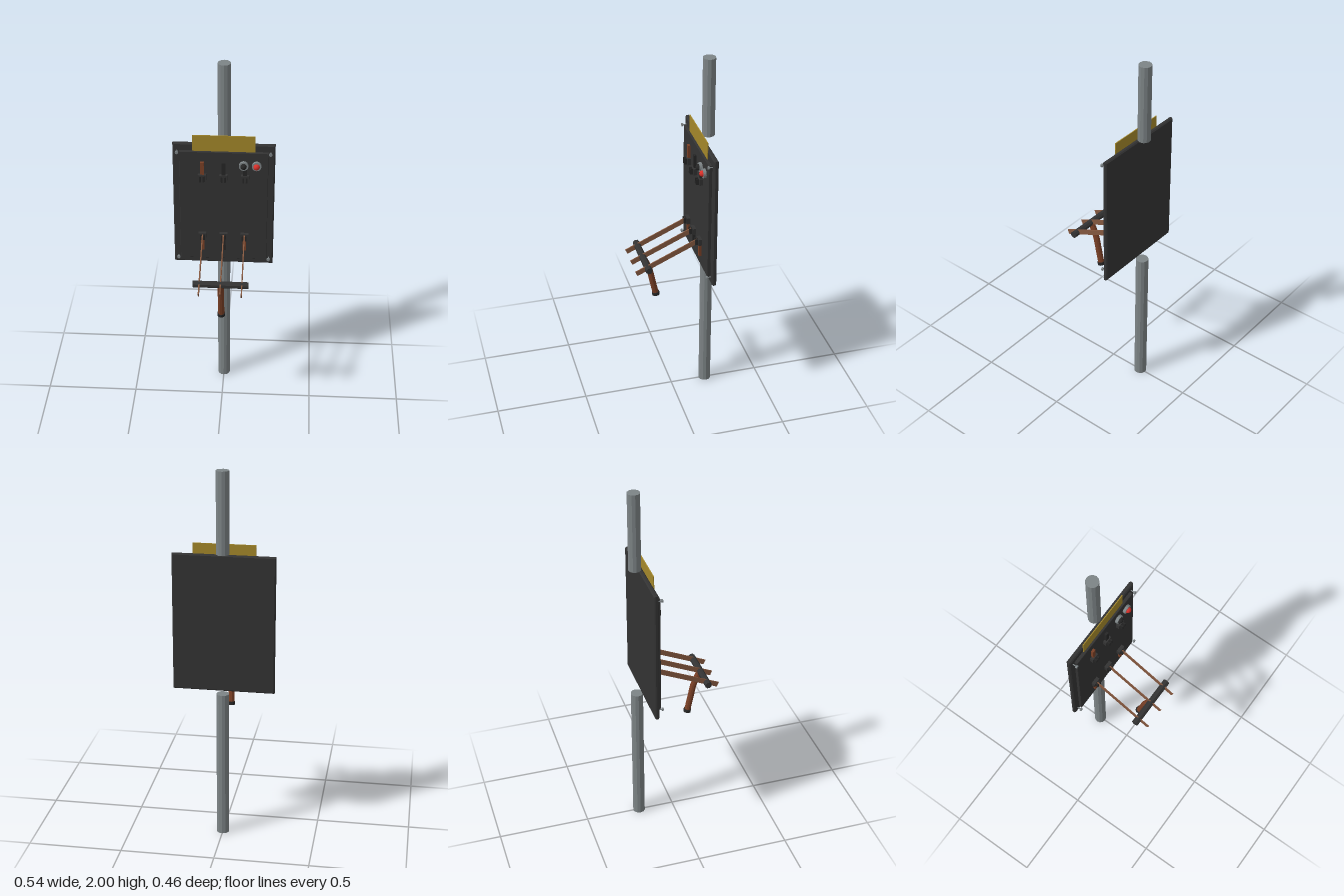
import * as THREE from 'three';

const mat = (name, color) => {
  const m = new THREE.MeshStandardMaterial({ color, flatShading: true });
  m.name = name;
  return m;
};

export function createModel() {
  const steel = mat('steel', 0x7d8486);
  const dark = mat('dark', 0x333333);
  const black = mat('black', 0x262626);
  const copper = mat('copper', 0x7a4026);
  const blade = mat('blade', 0x85583f);
  const brass = mat('brass', 0xa3872a);
  const red = mat('red', 0xd8302a);
  const root = new THREE.Group();
  root.name = 'knifeSwitchBoard';

  const add = (name, geo, material, x, y, z, parent = root) => {
    const m = new THREE.Mesh(geo, material);
    m.name = name;
    m.position.set(x, y, z);
    parent.add(m);
    return m;
  };
  const box = (name, w, h, d, material, x, y, z, parent) =>
    add(name, new THREE.BoxGeometry(w, h, d), material, x, y, z, parent);
  // Plate with chamfered edges, centred on its own origin
  const plate = (w, h, d, c) => {
    const a = w / 2 - c, b = h / 2 - c;
    const s = new THREE.Shape([[-a, -b], [a, -b], [a, b], [-a, b]].map(p => new THREE.Vector2(...p)));
    return new THREE.ExtrudeGeometry(s, {
      depth: d - 2 * c, bevelThickness: c, bevelSize: c, bevelSegments: 1,
    }).translate(0, 0, c - d / 2);
  };

  // Pole in two lengths, broken behind the board
  for (const [name, y0, y1] of [['lowerPole', 0, 0.81], ['upperPole', 1.57, 2]])
    add(name, new THREE.CylinderGeometry(0.034, 0.034, y1 - y0, 12), steel, 0, (y0 + y1) / 2, -0.197);

  // Board, raised panel and sign plate
  add('backBoard', plate(0.538, 0.742, 0.024, 0.006), dark, 0, 1.185, -0.162);
  add('frontPanel', plate(0.468, 0.665, 0.018, 0.002), dark, 0, 1.185, -0.141);
  box('signPlate', 0.328, 0.105, 0.005, brass, 0, 1.557, -0.1455);

  // Corner screws
  for (const x of [-0.245, 0.245]) for (const y of [0.856, 1.514]) {
    const s = add('screw', new THREE.CylinderGeometry(0.009, 0.009, 0.009, 8), steel, x, y, -0.127);
    s.rotation.x = Math.PI / 2;
    const shank = add('screwShank', new THREE.CylinderGeometry(0.003, 0.003, 0.022, 6), steel, x, y, -0.141);
    shank.rotation.x = Math.PI / 2;
  }

  // Indicator lamps
  for (const [x, m] of [[0.105, black], [0.173, red]]) {
    const base = add('lampBase', new THREE.CylinderGeometry(0.025, 0.025, 0.016, 16), steel, x, 1.445, -0.125);
    base.rotation.x = Math.PI / 2;
    const lens = add('lampLens',
      new THREE.SphereGeometry(0.017, 16, 6, 0, Math.PI * 2, 0, Math.PI / 2), m, x, 1.445, -0.117);
    lens.rotation.x = Math.PI / 2;
  }

  // Contacts: the upper tails point up, the lower tails point down
  const columns = [-0.113, 0, 0.113];
  for (const x of columns) for (const [y, dir] of [[1.37, 1], [1.005, -1]]) {
    const g = new THREE.Group();
    g.name = dir > 0 ? 'upperContact' : 'lowerContact';
    g.position.set(x, y, -0.133);
    root.add(g);
    box('contactBase', 0.044, 0.036, 0.02, dark, 0, 0, 0.01, g);
    for (const side of [-1, 1])
      box('contactJaw', 0.008, 0.032, 0.016, black, side * 0.009, 0, 0.027, g);
    box('contactTail', 0.02, 0.075, 0.014, x < 0 || dir < 0 && x > 0 ? copper : black, 0, dir * 0.053, 0.007, g);
  }

  // Swinging blades
  const z0 = -0.115, y0 = 1.007, z1 = 0.222, y1 = 0.855;
  for (const x of columns) {
    const b = box('blade', 0.006, 0.028, Math.hypot(z1 - z0, y1 - y0), blade, x, (y0 + y1) / 2, (z0 + z1) / 2);
    b.rotation.x = Math.atan2(y0 - y1, z1 - z0);
  }

  // Crossbar joining the blades
  const bar = add('crossbar', new THREE.CylinderGeometry(0.0185, 0.0185, 0.295, 8), dark, 0, 0.882, 0.159);
  bar.rotation.set(Math.PI / 8, 0, Math.PI / 2);

  // Bent handle with an end cap
  const path = new THREE.CatmullRomCurve3([
    [0, 0.882, 0.159], [0, 0.84, 0.138], [0, 0.8, 0.123], [0, 0.72, 0.106], [0, 0.64, 0.089],
  ].map(p => new THREE.Vector3(...p)));
  add('handle', new THREE.TubeGeometry(path, 8, 0.017, 10), copper, 0, 0, 0);
  const cap = add('handleCap', new THREE.CylinderGeometry(0.021, 0.021, 0.018, 10), black, 0, 0.637, 0.088);
  cap.rotation.x = 0.21;

  return root;
}
